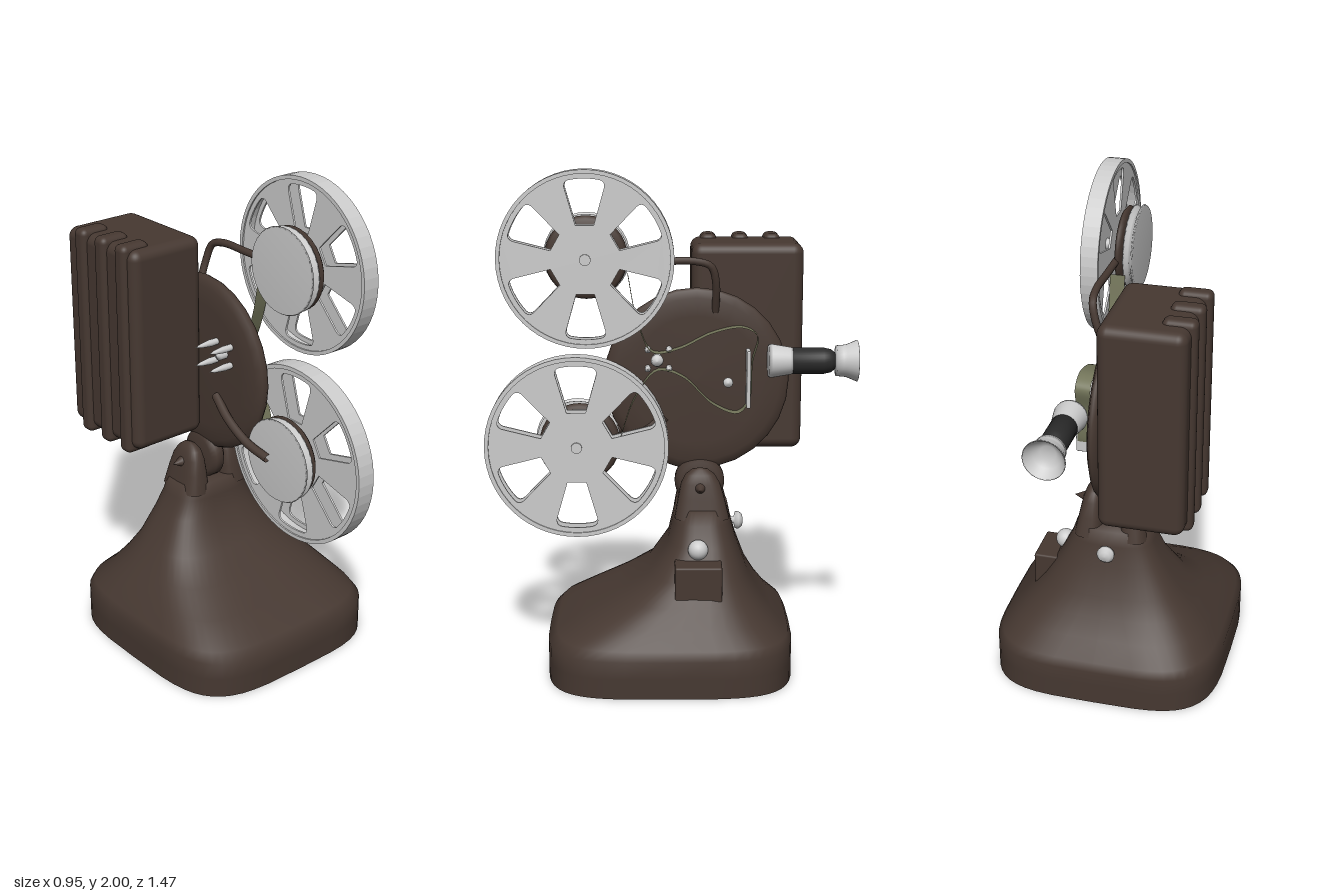
import * as THREE from 'three';
import { RoundedBoxGeometry } from 'three/addons/geometries/RoundedBoxGeometry.js';

const mat = (color) => new THREE.MeshStandardMaterial({ color, side: THREE.DoubleSide });
const V2 = (a) => a.map(([x, y]) => new THREE.Vector2(x, y));
const V3 = (a) => a.map((p) => new THREE.Vector3(...p));

// Rounded cross-sections stacked upward: [y, xCentre, xRadius, zCentre, zRadius, squareness]
function loft(sections, seg = 48) {
  const pos = [], idx = [];
  const bend = (v, n) => Math.sign(v) * Math.pow(Math.abs(v), 2 / n);
  for (const [y, xc, xr, zc, zr, n] of sections)
    for (let i = 0; i < seg; i++) {
      const a = (i / seg) * Math.PI * 2;
      pos.push(xc + xr * bend(Math.cos(a), n), y, zc + zr * bend(Math.sin(a), n));
    }
  for (let j = 0; j < sections.length - 1; j++)
    for (let i = 0; i < seg; i++) {
      const a = j * seg + i, b = j * seg + (i + 1) % seg;
      idx.push(a, a + seg, b, b, a + seg, b + seg);
    }
  const g = new THREE.BufferGeometry();
  g.setAttribute('position', new THREE.Float32BufferAttribute(pos, 3));
  g.setIndex(idx);
  g.computeVertexNormals();
  return g;
}

// Turned shapes with [radius, distance] profiles along +x or -z
const latheX = (p, seg = 32) => new THREE.LatheGeometry(V2(p), seg).rotateZ(-Math.PI / 2);
const latheBack = (p, seg = 32) => new THREE.LatheGeometry(V2(p), seg).rotateX(-Math.PI / 2);
const tube = (pts, r) => new THREE.TubeGeometry(new THREE.CatmullRomCurve3(V3(pts)), 32, r, 10);

// Flat plate in the side plane, thickened along +x
const plateX = (shape, depth) => new THREE.ExtrudeGeometry(shape,
  { depth, bevelEnabled: false, curveSegments: 28 }).rotateY(Math.PI / 2);

function disc(r) {
  const s = new THREE.Shape();
  s.absarc(0, 0, r, 0, Math.PI * 2, false);
  return s;
}

export function createModel() {
  const root = new THREE.Group();
  const brown = mat(0x463831), silver = mat(0xcccccc), black = mat(0x2b2b2b), olive = mat(0x73755a);
  const add = (name, geo, m, x = 0, y = 0, z = 0, parent = root) => {
    const mesh = new THREE.Mesh(geo, m);
    mesh.name = name;
    mesh.position.set(x, y, z);
    parent.add(mesh);
    return mesh;
  };

  // Hollow pedestal: upright skirt sweeping into a narrow neck
  add('pedestal', loft([
    [0, 0, 0.475, 0, 0.49, 4], [0.08, 0, 0.475, 0, 0.49, 4], [0.15, 0, 0.475, 0, 0.49, 4],
    [0.185, 0, 0.455, -0.01, 0.465, 4], [0.25, 0, 0.405, -0.035, 0.375, 3.6],
    [0.32, 0, 0.35, -0.075, 0.285, 3.2], [0.4, 0, 0.285, -0.113, 0.2, 3],
    [0.52, 0, 0.21, -0.13, 0.138, 3], [0.6, 0, 0.17, -0.128, 0.118, 3],
    [0.66, 0, 0.15, -0.128, 0.105, 3], [0.66, 0, 0, -0.128, 0, 3],
  ]), brown);

  // Fork prongs and pivot points either side of the hinge
  for (const s of [-1, 1]) {
    add('forkProng', loft([
      [0.62, s * 0.095, 0.06, -0.128, 0.11, 3], [0.7, s * 0.088, 0.05, -0.125, 0.093, 3],
      [0.76, s * 0.084, 0.042, -0.122, 0.078, 2.6], [0.795, s * 0.081, 0.033, -0.12, 0.058, 2.4],
      [0.815, s * 0.08, 0.018, -0.12, 0.032, 2.2], [0.822, s * 0.08, 0, -0.12, 0, 2],
    ], 28), brown);
    const g = new THREE.ConeGeometry(0.028, 0.06, 16).rotateZ(-s * Math.PI / 2);
    add('pivotPoint', g, brown, s * 0.14, 0.745, -0.12);
  }
  add('hingeDisc', latheX([[0, -0.036], [0.08, -0.036], [0.1, -0.018], [0.1, 0.018], [0.08, 0.036], [0, 0.036]]),
    brown, 0, 0.75, -0.12);

  // Switch housing and knobs on the pedestal
  add('switchHousing', new RoundedBoxGeometry(0.14, 0.17, 0.185, 2, 0.008), brown, 0.255, 0.395, -0.11);
  add('switchKnob', new THREE.SphereGeometry(0.04, 20, 14), silver, 0.215, 0.52, -0.11);
  add('tiltKnob', latheBack([[0, 0], [0.014, 0], [0.014, 0.05], [0.034, 0.055], [0.036, 0.07], [0.022, 0.085], [0, 0.087]], 20),
    silver, 0, 0.58, -0.21);

  // Mechanism body: thin round case
  add('mechanismBody', latheX([[0, -0.04], [0.26, -0.036], [0.33, -0.028], [0.36, -0.014], [0.368, 0],
    [0.36, 0.014], [0.33, 0.026], [0.26, 0.032], [0, 0.034]], 28), brown, 0, 1.165, -0.107);

  // Lamp house with three cooling straps wrapped round its outer side
  add('lampHouse', new RoundedBoxGeometry(0.332, 0.83, 0.445, 4, 0.04), brown, -0.2, 1.285, -0.31);
  for (const z of [-0.42, -0.29, -0.16])
    add('coolingStrap', new RoundedBoxGeometry(0.13, 0.866, 0.068, 3, 0.025), brown, -0.32, 1.285, z);

  // Reels: rim band and two flanges with six windows
  function reel(name, R, x, y, z, width) {
    const g = new THREE.Group();
    g.name = name;
    g.position.set(x, y, z);
    root.add(g);
    const rim = disc(R);
    rim.holes.push(disc(R * 0.955));
    add('rim', plateX(rim, width), silver, 0, 0, 0, g);
    const face = disc(R * 0.957);
    for (let k = 0; k < 6; k++) {
      const a = Math.PI / 2 + k * Math.PI / 3, h = new THREE.Path();
      const pt = (r, d) => [R * r * Math.cos(a + d), R * r * Math.sin(a + d)];
      h.moveTo(...pt(0.4, -0.26));
      h.lineTo(...pt(0.83, -0.27));
      h.quadraticCurveTo(...pt(0.9, -0.26), ...pt(0.9, -0.19));
      h.absarc(0, 0, R * 0.9, a - 0.19, a + 0.19, false);
      h.quadraticCurveTo(...pt(0.9, 0.26), ...pt(0.83, 0.27));
      h.lineTo(...pt(0.4, 0.26));
      h.closePath();
      face.holes.push(h);
    }
    for (const o of [0.006, width - 0.014])
      add('flange', plateX(face, 0.008), silver, o, 0, 0, g);
    add('spindle', new THREE.CylinderGeometry(0.022, 0.022, width + 0.004, 16).rotateZ(Math.PI / 2), silver, width / 2, 0, 0, g);
  }
  reel('upperReel', 0.342, 0.096, 1.66, 0.325, 0.07);
  reel('lowerReel', 0.365, 0.042, 0.91, 0.37, 0.076);

  // Drive pulleys behind each reel: grooved silver wheel and dark domed hub
  const pulley = [[0, -0.022], [0.165, -0.022], [0.17, -0.014], [0.145, -0.004], [0.145, 0.004], [0.165, 0.014], [0.165, 0.02], [0, 0.02]];
  const dome = [[0, -0.024], [0.1, -0.022], [0.15, -0.012], [0.162, 0], [0.15, 0.012], [0.1, 0.022], [0, 0.024]];
  add('upperPulley', latheX(pulley), silver, 0.025, 1.66, 0.325);
  add('upperHub', latheX(dome), brown, 0.068, 1.66, 0.325);
  add('lowerPulley', latheX(pulley), silver, -0.024, 0.91, 0.37);
  add('lowerHub', latheX(dome), brown, 0.02, 0.91, 0.36);

  // Reel arms
  add('upperArm', tube([[0.02, 1.44, -0.18], [0.06, 1.56, -0.18], [0.075, 1.625, -0.16], [0.08, 1.645, -0.1],
    [0.08, 1.645, 0.05], [0.075, 1.65, 0.25]], 0.015), brown);
  add('lowerArm', tube([[0.015, 1.02, 0.02], [0.018, 0.95, 0.1], [0.02, 0.91, 0.2], [0.02, 0.91, 0.36]], 0.028), brown);
  add('rearArm', tube([[-0.04, 1.06, 0], [-0.062, 1.0, 0.1], [-0.065, 0.94, 0.22], [-0.055, 0.91, 0.33]], 0.018), brown);

  // Film strip threaded from the upper reel through the gate to the lower reel
  const path = new THREE.CatmullRomCurve3(V3([[0, 1.6, 0.165], [0, 1.42, 0.13], [0, 1.29, 0.07], [0, 1.3, -0.03],
    [0, 1.365, -0.17], [0, 1.385, -0.29], [0, 1.35, -0.345], [0, 1.25, -0.325], [0, 1.1, -0.315], [0, 1.045, -0.27],
    [0, 1.08, -0.17], [0, 1.19, -0.05], [0, 1.215, 0.05], [0, 1.1, 0.14], [0, 0.93, 0.2]]));
  const film = new THREE.PlaneGeometry(1, 1, 90, 1);
  const p = film.attributes.position;
  for (let i = 0; i < p.count; i++) {
    const c = path.getPoint(i % 91 / 90);
    p.setXYZ(i, i < 91 ? 0.035 : 0.095, c.y, c.z);
  }
  film.computeVertexNormals();
  add('filmStrip', film, olive);

  // Sprocket, its four pins, the film gate and a small dial
  const pin = [[0, -0.145], [0.008, -0.12], [0.014, -0.07], [0.012, 0], [0.012, 0.06], [0, 0.07]];
  for (const dy of [-0.038, 0.038])
    for (const dz of [-0.042, 0.042])
      add('sprocketPin', latheX(pin, 12), silver, 0, 1.255 + dy, 0.045 + dz);
  add('sprocket', latheX([[0, -0.08], [0.02, -0.07], [0.02, 0.07], [0.025, 0.08], [0.02, 0.1], [0, 0.105]], 18),
    silver, 0, 1.255, 0.05);
  add('filmGate', new RoundedBoxGeometry(0.075, 0.23, 0.016, 2, 0.006), silver, 0.065, 1.18, -0.31);
  add('dial', latheX([[0.01, 0], [0.01, 0.04], [0.02, 0.045], [0.018, 0.06], [0, 0.065]], 16), silver, 0.025, 1.165, -0.23);

  // Lens: silver collar, dark barrel and flared hood
  const lens = new THREE.Group();
  lens.name = 'lens';
  lens.position.set(0.098, 1.257, 0);
  root.add(lens);
  add('collar', latheBack([[0, 0.385], [0.064, 0.385], [0.066, 0.4], [0.054, 0.47], [0.05, 0.485], [0, 0.485]]), silver, 0, 0, 0, lens);
  add('barrel', latheBack([[0, 0.47], [0.052, 0.48], [0.052, 0.6], [0.045, 0.63], [0.03, 0.65], [0, 0.655]]), black, 0, 0, 0, lens);
  add('hood', latheBack([[0.03, 0.645], [0.06, 0.65], [0.062, 0.675], [0.064, 0.69], [0.082, 0.733], [0.078, 0.735],
    [0.055, 0.695], [0.03, 0.68], [0, 0.68]]), silver, 0, 0, 0, lens);

  return root;
}
